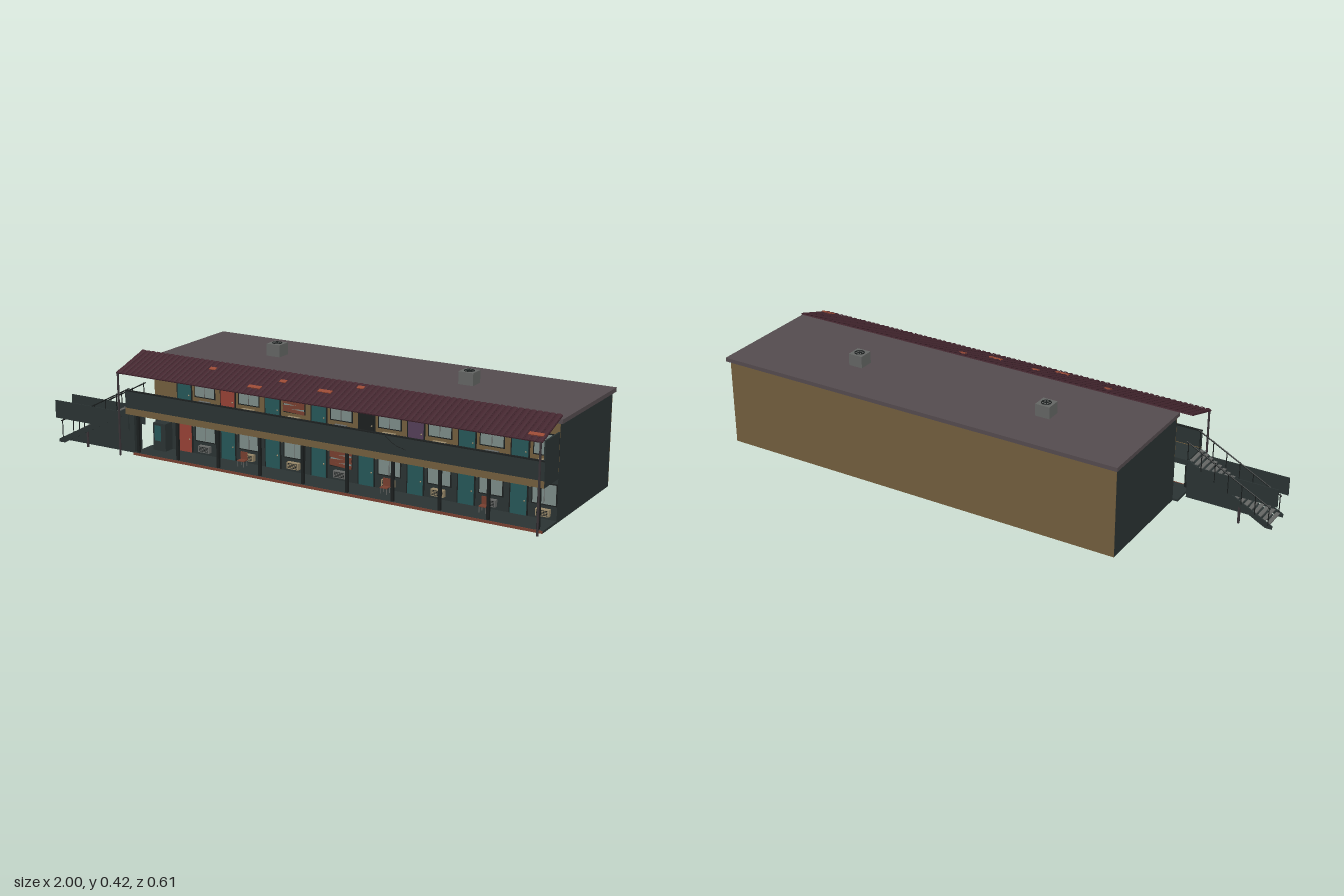
import * as THREE from 'three';
import { mergeGeometries } from 'three/addons/utils/BufferGeometryUtils.js';

const C = {
  wall: 0x2b3434, tan: 0x75603f, roof: 0x564d50, tile: 0x44262f, orange: 0x9a4a35,
  teal: 0x27595a, red: 0x9a4336, purple: 0x57405a, dark: 0x1c2020, glass: 0x7f8f8b,
  metal: 0x666866, plank: 0x7a4030, cream: 0x9a8a6a, post: 0x3a3438,
};
const mats = {};
const mat = (c) => (mats[c] ??= new THREE.MeshStandardMaterial({ color: c, side: THREE.DoubleSide }));

export function createModel() {
  const root = new THREE.Group();
  root.name = 'motel';

  const add = (name, geo, color, parent = root) => {
    const m = new THREE.Mesh(geo, mat(color));
    m.name = name;
    parent.add(m);
    return m;
  };
  // Box given by its limits on each axis
  const box = (name, x0, x1, y0, y1, z0, z1, color, parent) => {
    const g = new THREE.BoxGeometry(x1 - x0, y1 - y0, z1 - z0);
    g.translate((x0 + x1) / 2, (y0 + y1) / 2, (z0 + z1) / 2);
    return add(name, g, color, parent);
  };
  // Round bar between two points
  const bar = (name, a, b, r, color, parent) => {
    const p = new THREE.Vector3(...a), q = new THREE.Vector3(...b);
    const m = add(name, new THREE.CylinderGeometry(r, r, p.distanceTo(q), 6), color, parent);
    m.position.copy(p).add(q).multiplyScalar(0.5);
    m.quaternion.setFromUnitVectors(new THREE.Vector3(0, 1, 0), q.sub(p).normalize());
    return m;
  };
  const group = (name, x = 0, y = 0, z = 0) => {
    const g = new THREE.Group();
    g.name = name;
    g.position.set(x, y, z);
    root.add(g);
    return g;
  };

  // Main block and flat roof
  box('mainBlock', -0.61, 0.99, 0.025, 0.36, -0.283, 0.158, C.wall);
  box('backWall', -0.61, 0.99, 0.025, 0.36, -0.285, -0.283, C.tan);
  box('facadeUpper', -0.61, 0.99, 0.2, 0.36, 0.158, 0.16, C.tan);
  box('facadeLower', -0.61, 0.99, 0.025, 0.18, 0.158, 0.16, C.wall);
  box('flatRoof', -0.62, 0.997, 0.36, 0.375, -0.302, 0.16, C.roof);

  // Rooftop vents with fans
  for (const x of [-0.235, 0.545]) {
    const g = group('roofVent', x, 0.375, -0.09);
    box('ventHousing', -0.028, 0.028, 0, 0.045, -0.028, 0.028, C.metal, g);
    const ring = add('ventRing', new THREE.TorusGeometry(0.017, 0.002, 6, 20), C.dark, g);
    ring.rotation.x = Math.PI / 2;
    ring.position.y = 0.0455;
    for (let i = 0; i < 3; i++) {
      const blade = box('fanBlade', -0.016, 0.016, 0.0452, 0.0462, -0.002, 0.002, C.dark, g);
      blade.rotation.y = (i * Math.PI) / 3;
    }
  }

  // Walkway, balcony slab, parapet and end wall
  box('walkway', -0.63, 0.99, 0.025, 0.033, 0.16, 0.27, C.wall);
  box('walkwayEdge', -0.63, 0.99, 0.025, 0.034, 0.27, 0.273, C.plank);
  box('balconyFloor', -0.66, 0.99, 0.178, 0.198, 0.16, 0.266, C.wall);
  box('balconyFascia', -0.66, 0.99, 0.176, 0.2, 0.266, 0.273, C.tan);
  box('parapet', -0.66, 0.99, 0.2, 0.265, 0.267, 0.272, C.wall);
  box('parapetCap', -0.66, 0.99, 0.263, 0.267, 0.265, 0.274, C.dark);
  box('balconyEndWall', 0.985, 0.99, 0.176, 0.333, 0.16, 0.272, C.wall);

  // Posts
  for (let i = 0; i < 10; i++) {
    const x = -0.615 + i * 0.176;
    box('walkwayPost', x - 0.005, x + 0.005, 0.033, 0.178, 0.253, 0.263, C.dark);
  }
  for (const x of [-0.668, 0.985]) box('awningPost', x - 0.003, x + 0.003, 0.025, 0.337, 0.298, 0.303, C.post);

  // Tiled awning, built along its slope
  const slope = Math.atan2(0.049, 0.155), len = 0.163;
  const awning = group('awning', 0.158, 0.3605, 0.2235);
  awning.rotation.x = slope;
  box('awningDeck', -0.833, 0.833, -0.003, 0.001, -len / 2, len / 2, C.tile, awning);
  const tiles = [], rows = 11, cols = 76, step = len / rows, pitch = 1.666 / cols;
  for (let r = 0; r < rows; r++) for (let c = 0; c < cols; c++) {
    const t = new THREE.CylinderGeometry(pitch * 0.4, pitch * 0.5, step, 5, 1, true, 0, Math.PI);
    t.rotateZ(Math.PI / 2).rotateY(Math.PI / 2).scale(1, 0.45, 1);
    t.rotateX(-0.06);
    t.translate(-0.833 + (c + 0.5) * pitch, 0.001, -len / 2 + (r + 0.5) * step);
    tiles.push(t);
  }
  add('roofTiles', mergeGeometries(tiles), C.tile, awning);
  const patches = [[-0.48, -0.03], [-0.26, 0.04], [-0.18, -0.02], [0, 0], [0.11, -0.055], [0.8, 0.05]];
  patches.forEach(([x, z], i) => {
    const w = i % 2 ? 0.026 : 0.013;
    box('looseTile', x - w, x + w, 0.003, 0.007, z - 0.008, z + 0.008, C.orange, awning);
  });

  // Rooms: a door, a window and a cooling unit per bay, on both floors
  const doors = [
    [C.red, C.teal, C.teal, C.teal, C.teal, C.teal, C.teal, C.teal],
    [C.teal, C.red, C.teal, C.teal, C.dark, C.purple, C.teal, C.teal],
  ];
  const boarded = [3, 2];
  [0.034, 0.2].forEach((y, floor) => {
    for (let i = 0; i < 8; i++) {
      const g = group('roomFront', -0.475 + i * 0.19, y, 0.16);
      const top = floor ? 0.116 : 0.113;
      box('doorFrame', -0.034, 0.034, 0, top + 0.004, 0, 0.002, C.dark, g);
      box('door', -0.029, 0.029, 0, top, 0.001, 0.004, doors[floor][i], g);
      const knob = add('doorKnob', new THREE.SphereGeometry(0.003, 8, 6), C.cream, g);
      knob.position.set(0.022, 0.05, 0.006);
      box('windowFrame', 0.045, 0.135, 0.047, 0.123, 0, 0.002, C.dark, g);
      box('windowPane', 0.049, 0.131, 0.051, 0.119, 0.001, 0.003, C.glass, g);
      box('windowMullion', 0.089, 0.091, 0.051, 0.119, 0.002, 0.004, C.metal, g);
      if (i === boarded[floor]) {
        for (let k = 0; k < 5; k++) {
          const p = box('windowBoard', -0.044, 0.044, -0.006, 0.006, 0, 0.003, C.plank, g);
          p.position.set(0.09, 0.056 + k * 0.0145, 0.004);
          p.rotation.z = (k % 2 ? 1 : -1) * 0.06;
        }
      }
      box('coolingUnit', 0.066, 0.114, 0.012, 0.036, 0, 0.016, i % 3 ? C.cream : C.metal, g);
      for (let k = 0; k < 4; k++) {
        box('coolingGrille', 0.07, 0.11, 0.016 + k * 0.005, 0.018 + k * 0.005, 0.016, 0.017, C.dark, g);
      }
      const lamp = add('wallLamp', new THREE.SphereGeometry(0.005, 8, 6), C.cream, g);
      lamp.position.set(0.04, 0.105, 0.005);
    }
  });

  // Vending machine beside the stairs
  box('vendingMachine', -0.59, -0.535, 0.033, 0.137, 0.16, 0.203, C.wall);
  box('vendingWindow', -0.583, -0.555, 0.07, 0.128, 0.203, 0.204, C.teal);

  // Chairs on the walkway
  for (const x of [-0.2, 0.38, 0.75]) {
    const g = group('chair', x, 0.033, 0.2);
    box('chairSeat', -0.014, 0.014, 0.02, 0.023, -0.013, 0.013, C.plank, g);
    box('chairBack', -0.014, 0.014, 0.023, 0.05, -0.014, -0.011, C.plank, g);
    for (const sx of [-1, 1]) for (const sz of [-1, 1]) {
      bar('chairLeg', [sx * 0.012, 0, sz * 0.011], [sx * 0.012, 0.02, sz * 0.011], 0.0015, C.metal, g);
    }
  }

  // Outside staircase: open treads between two stringers
  const n = 18, x0 = -0.975, run = 0.315 / n, rise = 0.172 / n;
  for (let i = 0; i < n; i++) {
    const x = x0 + i * run, y = 0.025 + (i + 1) * rise;
    box('stairTread', x, x + run * 0.8, y - 0.004, y, 0.17, 0.258, C.metal);
  }
  const side = new THREE.Shape([[-0.985, 0.018], [-0.96, 0.018], [-0.655, 0.178], [-0.655, 0.2], [-0.985, 0.03]]
    .map((p) => new THREE.Vector2(...p)));
  for (const z of [0.163, 0.26]) {
    const g = new THREE.ExtrudeGeometry(side, { depth: 0.005, bevelEnabled: false });
    add('stairStringer', g.translate(0, 0, z), C.wall);
    box('stairSidePanel', -0.998, -0.655, 0.11, 0.178, z, z + 0.004, C.wall);
    bar('handrail', [-0.975, 0.1, z], [-0.65, 0.27, z], 0.0025, C.dark);
    for (let i = 0; i < 7; i++) {
      const x = -0.97 + i * 0.052, y = 0.027 + (x + 0.975) * 0.525;
      bar('baluster', [x, y, z], [x, y + 0.076, z], 0.0018, C.dark);
    }
  }
  // Enclosure under the upper flight, and footings
  const under = new THREE.Shape([[-0.955, 0.025], [-0.64, 0.025], [-0.64, 0.178], [-0.66, 0.178]]
    .map((p) => new THREE.Vector2(...p)));
  add('underStairWall', new THREE.ExtrudeGeometry(under, { depth: 0.045, bevelEnabled: false }).translate(0, 0, 0.205), C.wall);
  box('stairFooting', -0.86, -0.853, 0, 0.08, 0.172, 0.18, C.post);
  box('stairFooting', -0.86, -0.853, 0.014, 0.08, 0.251, 0.256, C.post);

  // Loose cable over the parapet
  const cable = new THREE.CatmullRomCurve3([[0.42, 0.26, 0.274], [0.46, 0.24, 0.284], [0.5, 0.225, 0.277]]
    .map((p) => new THREE.Vector3(...p)));
  add('looseCable', new THREE.TubeGeometry(cable, 12, 0.001, 5), C.dark);

  return root;
}
